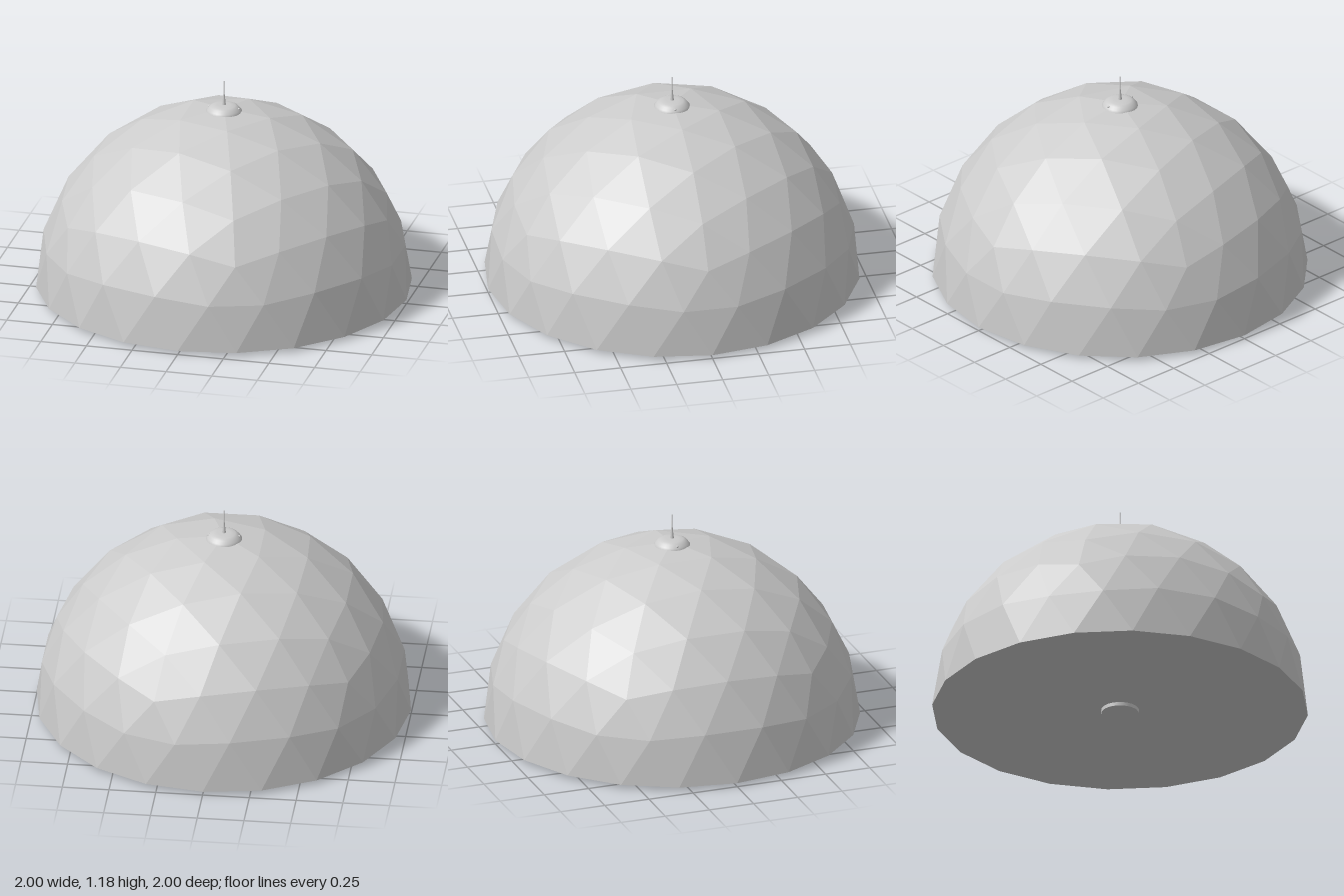
import * as THREE from 'three';

const BASE_Y = 0.02;

// Upper half of a frequency-4 icosphere, one corner at the apex and one towards +x
function domeGeometry() {
  const ico = new THREE.IcosahedronGeometry(1, 3);
  ico.rotateZ(-Math.atan(2 / (1 + Math.sqrt(5))));
  const p = ico.getAttribute('position');
  const kept = [];
  for (let i = 0; i < p.count; i += 3) {
    if (p.getY(i) + p.getY(i + 1) + p.getY(i + 2) < 0) continue;
    for (let k = i; k < i + 3; k++) kept.push(p.getX(k), p.getY(k), p.getZ(k));
  }
  const geometry = new THREE.BufferGeometry();
  geometry.setAttribute('position', new THREE.Float32BufferAttribute(kept, 3));
  geometry.computeVertexNormals();
  return geometry;
}

export function createModel() {
  const model = new THREE.Group();
  const flat = new THREE.MeshStandardMaterial({ color: 0xcccccc, flatShading: true });
  const smooth = new THREE.MeshStandardMaterial({ color: 0xcccccc });

  const add = (name, geometry, material, x, y, z) => {
    const mesh = new THREE.Mesh(geometry, material);
    mesh.name = name;
    mesh.position.set(x, y, z);
    model.add(mesh);
    return mesh;
  };
  const lathe = (points, sides) =>
    new THREE.LatheGeometry(points.map(([r, y]) => new THREE.Vector2(r, y)), sides);

  // Faceted shell and its 20-sided underside
  add('dome', domeGeometry(), flat, 0, BASE_Y, 0);
  add('underside', new THREE.CircleGeometry(1, 20).rotateX(Math.PI / 2), flat, 0, BASE_Y, 0);

  // Small round foot under the middle
  add('foot', new THREE.CylinderGeometry(0.1, 0.1, 0.025, 32), smooth, 0, 0.0125, 0);

  // Shallow rounded cap at the apex
  add('cap', lathe([[0, 0.99], [0.095, 0.99], [0.098, 1.003], [0.088, 1.016],
    [0.076, 1.03], [0.06, 1.038], [0.035, 1.041], [0, 1.041]], 32), smooth, 0, 0, 0);

  // Tiny studs on both sides of the cap
  for (const side of [1, -1]) {
    add('capStud', new THREE.SphereGeometry(0.007, 10, 8), smooth, side * 0.082, 1.022, 0);
  }

  // Tapered spire
  add('spire', lathe([[0.011, 1.035], [0.008, 1.06], [0.005, 1.09], [0.003, 1.11],
    [0.002, 1.175], [0, 1.176]], 12), smooth, 0, 0, 0);

  return model;
}
